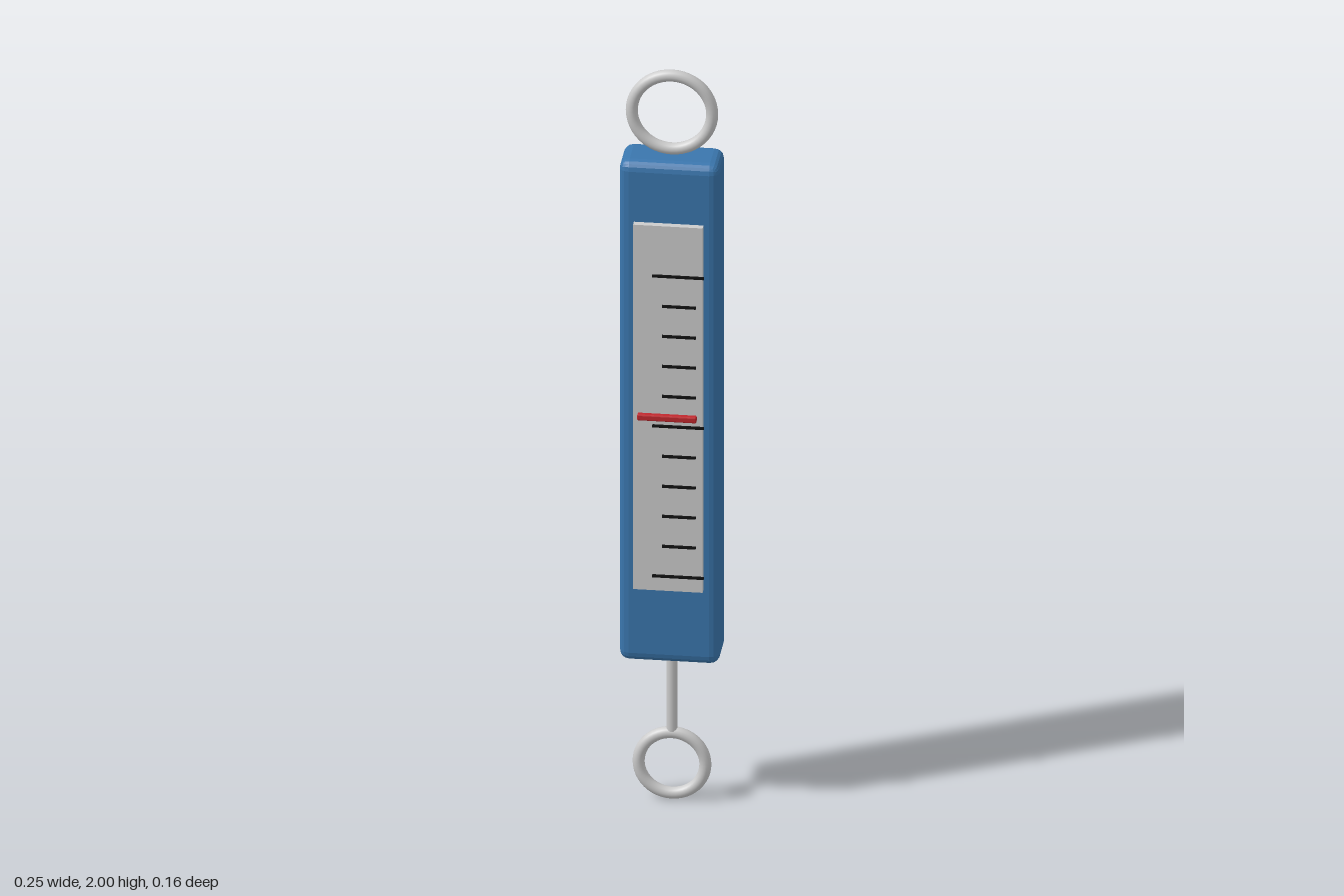
import * as THREE from 'three';
import { RoundedBoxGeometry } from 'three/addons/geometries/RoundedBoxGeometry.js';

const AXIS_Z = -0.02; // depth of the body centre, rings and rod

export function createModel() {
  const group = new THREE.Group();
  const mat = (color, flatShading = false) => new THREE.MeshStandardMaterial({ color, flatShading });
  const metal = mat(0xcccccc);
  const plateGrey = mat(0xcccccc);
  const blue = mat(0x3a76ad, true);
  const black = mat(0x111111);
  const red = mat(0xc1272d, true);

  const add = (name, geometry, material, x, y, z) => {
    const mesh = new THREE.Mesh(geometry, material);
    mesh.name = name;
    mesh.position.set(x, y, z);
    group.add(mesh);
    return mesh;
  };

  // Casing with softened edges
  add('body', new RoundedBoxGeometry(0.25, 1.37, 0.126, 2, 0.025), blue, 0, 1.085, AXIS_Z);

  // Hanging ring, pull rod and pull ring
  add('topRing', new THREE.TorusGeometry(0.1, 0.015, 16, 48), metal, 0, 1.885, AXIS_Z);
  add('pullRod', new THREE.CylinderGeometry(0.014, 0.014, 0.23, 16), metal, 0, 0.305, AXIS_Z);
  add('pullRing', new THREE.TorusGeometry(0.083, 0.015, 16, 48), metal, 0, 0.1, AXIS_Z);

  // Scale plate, standing just off the casing
  add('scalePlate', new THREE.BoxGeometry(0.173, 1.0, 0.017), plateGrey, 0, 1.11, 0.0535);

  // Scale marks: every fifth one is long
  const marks = 11;
  for (let i = 0; i < marks; i++) {
    const long = i % 5 === 0;
    add('scaleMark', new THREE.BoxGeometry(long ? 0.128 : 0.084, 0.006, 0.006), black,
      long ? 0.026 : 0.028, 0.652 + i * 0.0823, 0.067);
  }

  // Pointer
  add('pointer', new RoundedBoxGeometry(0.147, 0.016, 0.016, 1, 0.003), red, -0.001, 1.089, 0.071);

  return group;
}
